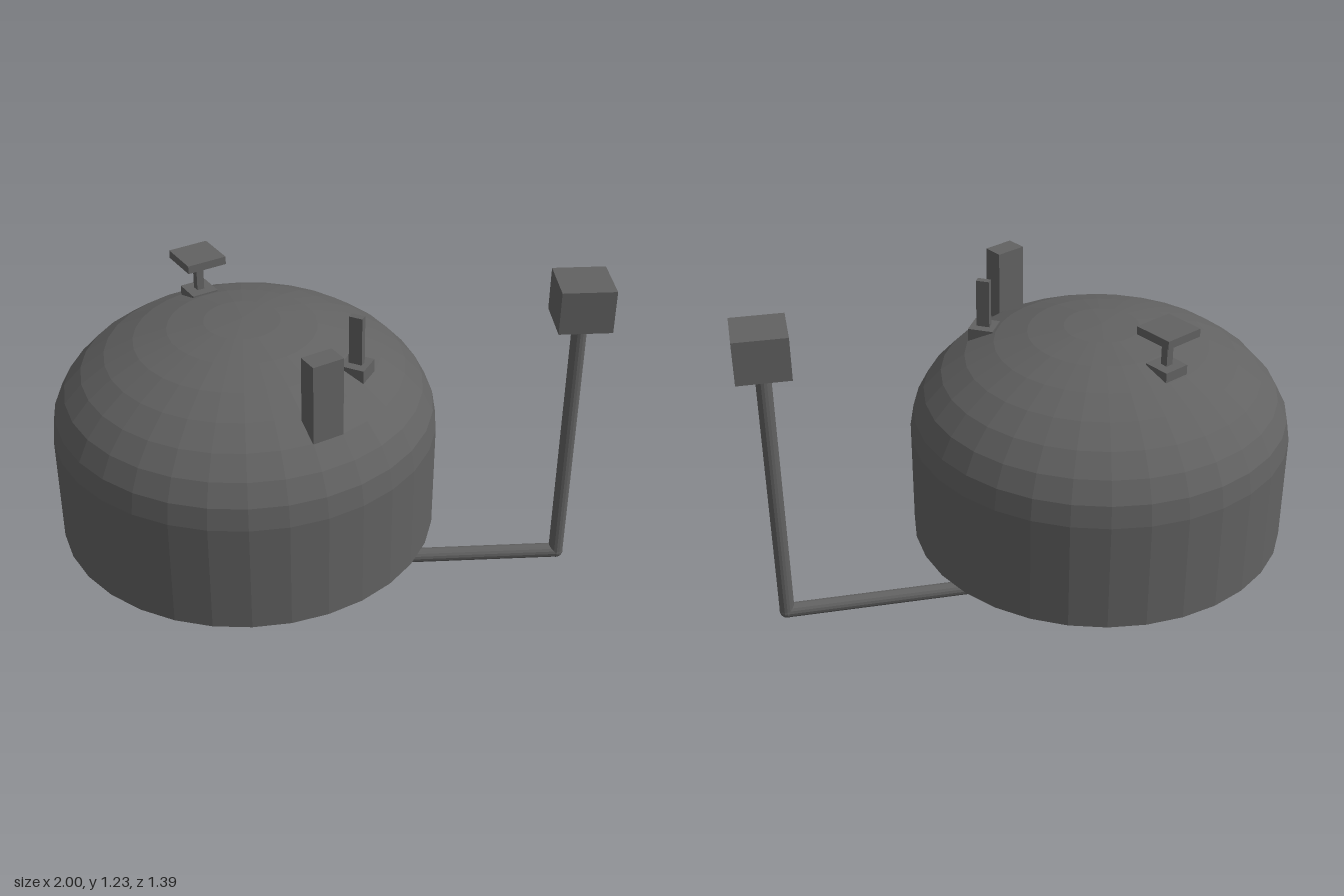
import * as THREE from 'three';

const TANK_X = -0.303;
const TANK_R = 0.697;

export function createModel() {
  const model = new THREE.Group();
  model.name = 'tankWithFeedPipe';
  const grey = new THREE.MeshStandardMaterial({ color: 0x626262 });
  grey.name = 'dark grey';
  grey.flatShading = true;

  const add = (parent, name, geometry, x, y, z) => {
    const mesh = new THREE.Mesh(geometry, grey);
    mesh.name = name;
    mesh.position.set(x, y, z);
    parent.add(mesh);
    return mesh;
  };

  // Tank: straight wall with a closed floor, topped by a flattened half sphere
  add(model, 'tankWall', new THREE.CylinderGeometry(TANK_R, TANK_R, 0.412, 32), TANK_X, 0.504, 0);
  const dome = new THREE.SphereGeometry(TANK_R, 32, 8, 0, Math.PI * 2, 0, Math.PI / 2);
  dome.scale(1, 0.41 / TANK_R, 1);
  add(model, 'tankDome', dome, TANK_X, 0.71, 0);

  // Feed pipe: straight runs with round elbows
  const pipe = (name, a, b, r) => {
    const from = new THREE.Vector3(...a), to = new THREE.Vector3(...b);
    const dir = to.clone().sub(from);
    const mid = from.clone().add(to).multiplyScalar(0.5);
    const mesh = add(model, name, new THREE.CylinderGeometry(r, r, dir.length(), 16), mid.x, mid.y, mid.z);
    mesh.quaternion.setFromUnitVectors(new THREE.Vector3(0, 1, 0), dir.normalize());
  };
  const low = 0.029, boxX = 0.902;
  pipe('outletPipe', [TANK_X, low, 0], [TANK_X, 0.32, 0], 0.029);
  pipe('groundPipe', [TANK_X, low, 0], [boxX, low, 0], 0.028);
  pipe('riserPipe', [boxX, low, 0], [boxX, 1.08, 0], 0.028);
  for (const x of [TANK_X, boxX]) {
    add(model, 'pipeElbow', new THREE.SphereGeometry(0.029, 16, 12), x, low, 0);
  }

  // Control box on the riser
  add(model, 'controlBox', new THREE.BoxGeometry(0.194, 0.163, 0.194), boxX, 1.1485, 0);

  // Dome fittings, each turned to face away from the tank axis (local z is outward)
  const fitting = (name, x, z, boxes) => {
    const group = new THREE.Group();
    group.name = name;
    group.position.set(x, 0, z);
    group.rotation.y = Math.atan2(x - TANK_X, z);
    for (const [part, width, depth, bottom, top] of boxes) {
      add(group, part, new THREE.BoxGeometry(width, top - bottom, depth), 0, (bottom + top) / 2, 0);
    }
    model.add(group);
  };
  fitting('ventStack', -0.048, 0.478, [['stack', 0.116, 0.076, 0.938, 1.23]]);
  fitting('levelGauge', 0.085, 0.212, [
    ['gaugeBase', 0.093, 0.093, 1.0, 1.05],
    ['gaugePost', 0.025, 0.049, 1.04, 1.23],
  ]);
  fitting('hatch', -0.457, -0.289, [
    ['hatchBase', 0.1, 0.1, 1.04, 1.09],
    ['hatchPost', 0.028, 0.028, 1.08, 1.21],
    ['hatchPlate', 0.151, 0.151, 1.2, 1.23],
  ]);

  return model;
}
